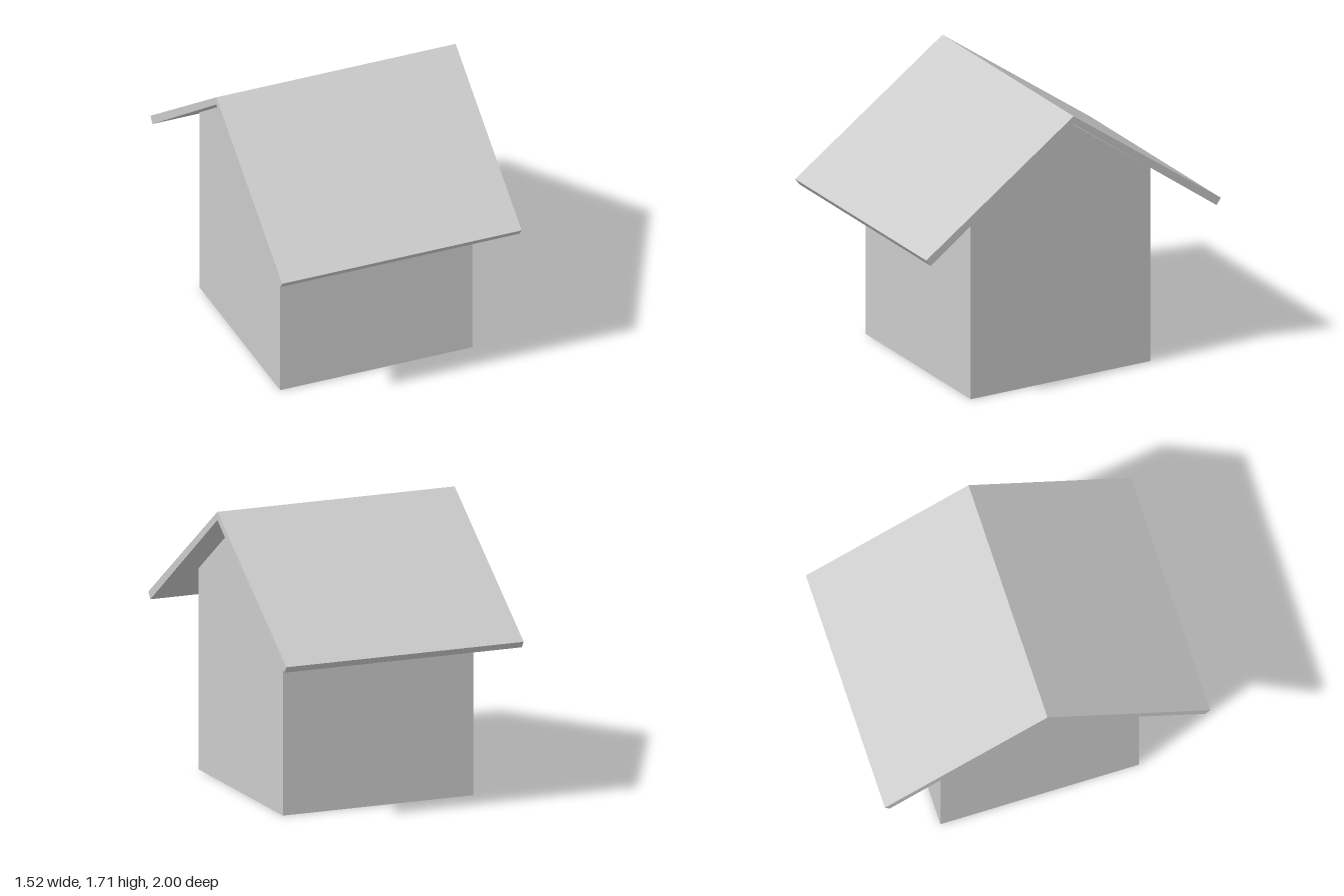
import * as THREE from 'three';

const material = new THREE.MeshStandardMaterial({ color: 0xcccccc, flatShading: true });

function shapeFrom(points) {
  return new THREE.Shape(points.map(([a, b]) => new THREE.Vector2(a, b)));
}

// One fragment of a roof slope: an outline in x and z, bent onto the pitched slab
function roofPiece(outline) {
  const shape = shapeFrom(outline.map(([x, z]) => [x, -z]));
  const geometry = new THREE.ExtrudeGeometry(shape, { depth: 1, bevelEnabled: false });
  const p = geometry.attributes.position;
  for (let i = 0; i < p.count; i++) {
    const z = -p.getY(i);
    const outer = p.getZ(i) > 0.5;
    if (outer) p.setXYZ(i, p.getX(i), 1.71 - 0.71 * Math.abs(z), z);
    else p.setXYZ(i, p.getX(i), 1.66 - 0.70 * Math.abs(z), z * 0.97);
  }
  geometry.computeVertexNormals();
  return new THREE.Mesh(geometry, material);
}

// Fragment outlines, seen from above
const frontPieces = [
  [[-0.76, 0], [-0.36, 0], [-0.76, 0.17]],
  [[-0.76, 0.17], [-0.36, 0], [-0.02, 0.05], [-0.76, 0.95]],
  [[-0.76, 0.95], [-0.02, 0.05], [0.06, 0.03], [0.17, 0.03], [-0.1, 1], [-0.76, 1]],
  [[-0.1, 1], [0.17, 0.03], [0.65, 1]],
  [[0.65, 1], [0.17, 0.03], [0.2, 0.02], [0.7, 0.04], [0.76, 0.88], [0.76, 1]],
  [[0.7, 0.04], [0.76, 0.03], [0.76, 0.88]],
  [[-0.36, 0], [0.05, 0], [0.06, 0.03], [-0.02, 0.05]],
  [[0.05, 0], [0.2, 0], [0.2, 0.02], [0.17, 0.03], [0.06, 0.03]],
  [[0.2, 0], [0.76, 0], [0.76, 0.03], [0.7, 0.04], [0.2, 0.02]],
];
const backPieces = [
  [[-0.76, 0], [-0.36, 0], [-0.76, -0.48]],
  [[-0.36, 0], [0.05, 0], [-0.56, -1], [-0.76, -1], [-0.76, -0.48]],
  [[0.05, 0], [0.2, 0], [0.23, -0.63], [0.06, -1], [-0.56, -1]],
  [[0.06, -1], [0.23, -0.63], [0.76, -0.78], [0.76, -1]],
  [[0.2, 0], [0.76, 0], [0.76, -0.78], [0.23, -0.63]],
];

function roofSlope(name, pieces) {
  const slope = new THREE.Group();
  slope.name = name;
  pieces.forEach((outline, i) => {
    const piece = roofPiece(outline);
    piece.name = `${name}Piece${i + 1}`;
    slope.add(piece);
  });
  return slope;
}

export function createModel() {
  const house = new THREE.Group();
  house.name = 'house';

  // Gabled body, extruded along x
  const gable = shapeFrom([[-0.61, 0], [0.61, 0], [0.61, 1.215], [0, 1.65], [-0.61, 1.215]]);
  const bodyGeometry = new THREE.ExtrudeGeometry(gable, { depth: 1.22, bevelEnabled: false });
  bodyGeometry.translate(0, 0, -0.61).rotateY(Math.PI / 2);
  const body = new THREE.Mesh(bodyGeometry, material);
  body.name = 'walls';
  house.add(body);

  // Overhanging roof, cracked into fragments
  house.add(roofSlope('frontRoof', frontPieces), roofSlope('backRoof', backPieces));
  return house;
}
